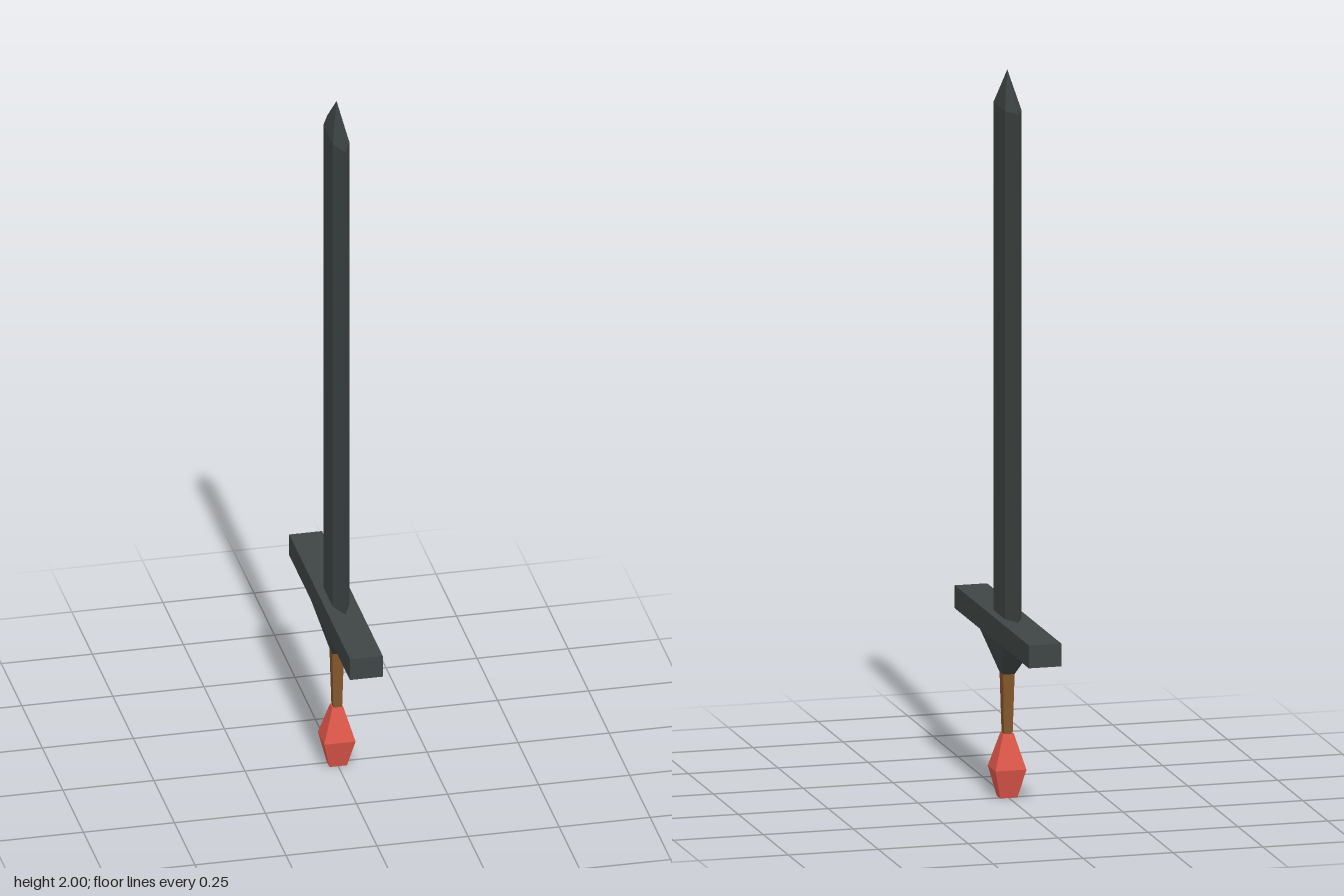
import * as THREE from 'three';

const STEEL = 0x3f4645, WOOD = 0x85562c, RED = 0xe0574a;

// Cross-sections as [x, z] corners, running from +x towards +z
const rect = (hx, hz, cz = 0) => [[hx, cz - hz], [hx, cz + hz], [-hx, cz + hz], [-hx, cz - hz]];
const hexagon = (hx, hz, cz = 0) => [
  [hx, cz - hz * 0.52], [hx, cz + hz * 0.52], [0, cz + hz],
  [-hx, cz + hz * 0.52], [-hx, cz - hz * 0.52], [0, cz - hz],
];

// Closed faceted solid through a stack of { y, ring } sections
function loft(name, color, sections) {
  const n = sections[0].ring.length;
  const positions = sections.flatMap(({ y, ring }) => ring.flatMap(([x, z]) => [x, y, z]));
  const index = [];
  for (let s = 0; s < sections.length - 1; s++) {
    for (let i = 0; i < n; i++) {
      const a = s * n + i, b = s * n + (i + 1) % n;
      index.push(a, a + n, b + n, a, b + n, b);
    }
  }
  const top = (sections.length - 1) * n;
  for (let i = 1; i < n - 1; i++) {
    index.push(0, i, i + 1, top, top + i + 1, top + i);
  }
  const indexed = new THREE.BufferGeometry();
  indexed.setAttribute('position', new THREE.Float32BufferAttribute(positions, 3));
  indexed.setIndex(index);
  const geometry = indexed.toNonIndexed();
  geometry.computeVertexNormals();
  const mesh = new THREE.Mesh(geometry, new THREE.MeshStandardMaterial({ color, flatShading: true }));
  mesh.name = name;
  return mesh;
}

export function createModel() {
  const sword = new THREE.Group();
  sword.name = 'sword';

  // Six-sided blade closing to a point
  sword.add(loft('blade', STEEL, [
    { y: 0.5, ring: hexagon(0.023, 0.11, 0.005) },
    { y: 1.9, ring: hexagon(0.023, 0.11, 0.005) },
    { y: 2.0, ring: hexagon(0, 0, 0.007) },
  ]));

  // Crossguard bar
  sword.add(loft('crossguard', STEEL, [
    { y: 0.44, ring: rect(0.045, 0.37) },
    { y: 0.503, ring: rect(0.045, 0.37) },
  ]));

  // Wedge narrowing from the guard to the grip
  sword.add(loft('guardCollar', STEEL, [
    { y: 0.34, ring: rect(0.016, 0.018, 0.009) },
    { y: 0.44, ring: rect(0.045, 0.113, 0.005) },
  ]));

  // Slim tapered grip
  sword.add(loft('grip', WOOD, [
    { y: 0.17, ring: rect(0.012, 0.012, 0.009) },
    { y: 0.34, ring: rect(0.016, 0.018, 0.009) },
  ]));

  // Gem-like pommel
  sword.add(loft('pommel', RED, [
    { y: 0, ring: rect(0.024, 0.018, 0.009) },
    { y: 0.08, ring: rect(0.043, 0.039, 0.009) },
    { y: 0.175, ring: rect(0.015, 0.014, 0.009) },
  ]));

  return sword;
}
